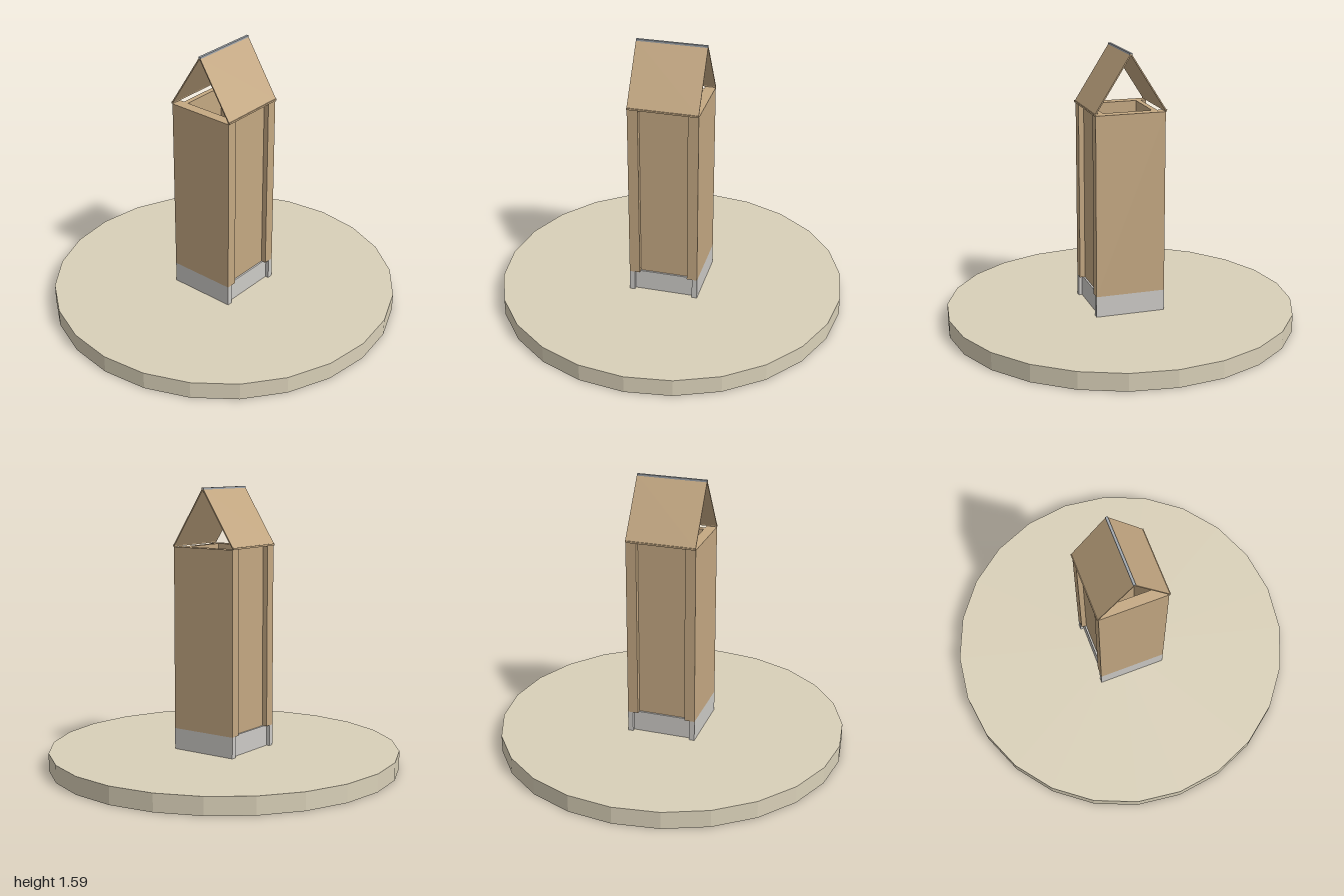
import * as THREE from 'three';

export function createModel() {
  const model = new THREE.Group();
  const material = (name, color) => {
    const m = new THREE.MeshStandardMaterial({ color });
    m.name = name;
    return m;
  };
  const wood = material('tan wood', 0xc4a882);
  const stone = material('pale grey stone', 0xcccac6);
  const ground = material('sand ground', 0xd9d0b8);
  const metal = material('blue grey metal', 0xa0a6ac);

  const box = (name, mat, size, pos, parent = model) => {
    const mesh = new THREE.Mesh(new THREE.BoxGeometry(...size), mat);
    mesh.name = name;
    mesh.position.set(...pos);
    parent.add(mesh);
    return mesh;
  };

  // Round ground disc with faceted rim
  const disc = new THREE.CylinderGeometry(1, 1, 0.1, 24).toNonIndexed();
  disc.computeVertexNormals();
  const base = new THREE.Mesh(disc, ground);
  base.name = 'groundDisc';
  base.position.y = 0.05;
  model.add(base);

  // Hollow ring of four walls: full-width front and back, recessed sides between them
  const walls = (name, mat, y0, y1, thick, sideOuter, sideThick) => {
    const group = new THREE.Group();
    group.name = name;
    const h = y1 - y0, y = (y0 + y1) / 2;
    for (const s of [1, -1]) {
      box(s > 0 ? 'frontWall' : 'backWall', mat, [0.4, h, thick], [0, y, s * (0.2 - thick / 2)], group);
      box(s > 0 ? 'leftWall' : 'rightWall', mat, [sideThick, h, 0.4 - 2 * thick],
        [s * (sideOuter - sideThick / 2), y, 0], group);
    }
    model.add(group);
  };
  walls('plinth', stone, 0.1, 0.22, 0.03, 0.18, 0.03);
  walls('tower', wood, 0.22, 1.255, 0.06, 0.17, 0.03);

  // Open gable roof: two thin sloping boards with eave strips
  const run = 0.203, rise = 0.32, thickness = 0.007;
  const slope = Math.atan2(rise, run);
  for (const s of [1, -1]) {
    const board = box(s > 0 ? 'leftRoofBoard' : 'rightRoofBoard', wood,
      [Math.hypot(run, rise), thickness, 0.4], [s * run / 2, 1.26 + rise / 2, 0]);
    board.rotation.z = -s * slope;
    box(s > 0 ? 'leftEave' : 'rightEave', wood, [0.01, 0.01, 0.4], [s * 0.203, 1.261, 0]);
  }

  // Ridge cap
  box('ridgeCap', metal, [0.014, 0.012, 0.4], [0, 1.58, 0]);

  return model;
}
